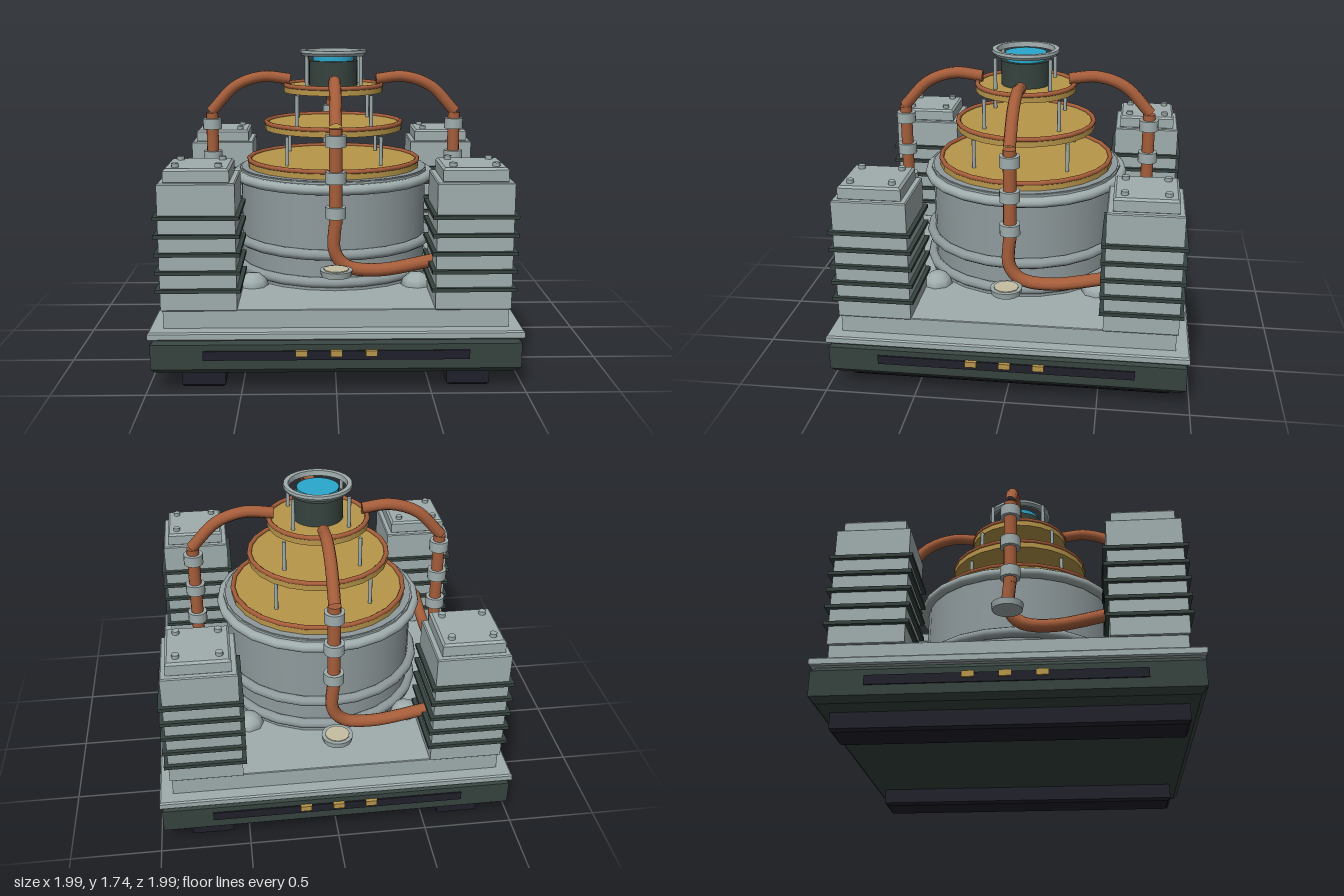
import * as THREE from 'three';

const mat = (name, color) => Object.assign(new THREE.MeshStandardMaterial({ color }), { name });
const grey = mat('light grey metal', 0xa0adad);
const steel = mat('drum steel', 0x8f9a9c);
const dark = mat('dark green metal', 0x36433f);
const black = mat('near black', 0x20202b);
const copper = mat('copper', 0xa55d3a);
const gold = mat('brass', 0xb8964a);
const cyan = mat('cyan glow', 0x2aa8cd);
const cream = mat('cream lamp', 0xc6bfa2);

export function createModel() {
  const root = new THREE.Group();

  const add = (parent, name, geometry, material, x = 0, y = 0, z = 0) => {
    const m = new THREE.Mesh(geometry, material);
    m.name = name;
    m.position.set(x, y, z);
    parent.add(m);
    return m;
  };
  const group = (name, parent = root) => {
    const g = new THREE.Group();
    g.name = name;
    parent.add(g);
    return g;
  };
  // Box from y0 to y1 with chamfered edges
  const slab = (w, d, y0, y1, b) => {
    const x = w / 2 - b, z = d / 2 - b;
    const shape = new THREE.Shape([[-x, -z], [x, -z], [x, z], [-x, z]].map(p => new THREE.Vector2(...p)));
    return new THREE.ExtrudeGeometry(shape, {
      depth: y1 - y0 - 2 * b, bevelEnabled: true, bevelSize: b, bevelThickness: b, bevelSegments: 1,
    }).rotateX(-Math.PI / 2).translate(0, y0 + b, 0);
  };
  // Upright cylinder from y0 to y1
  const cyl = (r, y0, y1, n = 24, rBottom = r) =>
    new THREE.CylinderGeometry(r, rBottom, y1 - y0, n).translate(0, (y0 + y1) / 2, 0);
  const ring = (r, tube, y, n = 24) =>
    new THREE.TorusGeometry(r, tube, 10, n).rotateX(Math.PI / 2).translate(0, y, 0);
  const tube = (pts, r = 0.036) => new THREE.TubeGeometry(
    new THREE.CatmullRomCurve3(pts.map(p => new THREE.Vector3(...p))), 24, r, 10);

  // Base: skids, hull, plate and deck
  const base = group('base');
  for (const s of [-1, 1]) add(base, 'skid', slab(0.23, 1.8, 0, 0.13, 0.015), black, s * 0.705);
  add(base, 'hull', slab(1.95, 1.95, 0.1, 0.295, 0.03), dark);
  add(base, 'plate', slab(1.97, 1.97, 0.29, 0.335, 0.008), grey);
  add(base, 'deck', slab(1.82, 1.82, 0.33, 0.435, 0.004), grey);

  // Drum with its three hoops
  const drum = group('drum');
  add(drum, 'drumBody', cyl(0.555, 0.43, 1.05, 32), steel);
  for (const y of [0.475, 0.635]) add(drum, 'drumHoop', ring(0.575, 0.03, y), steel);
  add(drum, 'drumFoot', cyl(0.59, 0.43, 0.475), steel);
  add(drum, 'drumRim', ring(0.575, 0.03, 1.005), grey);
  add(drum, 'drumLid', cyl(0.565, 1.005, 1.045), grey);

  // Stacked discs, each edged with a copper ring
  const stack = group('discStack');
  for (const [r, y] of [[0.515, 1.05], [0.41, 1.27], [0.293, 1.49]]) {
    add(stack, 'disc', cyl(r, y, y + 0.04), gold);
    add(stack, 'discEdge', ring(r - 0.008, 0.014, y + 0.042), copper);
  }

  // Emitter head
  const head = group('emitterHead');
  add(head, 'emitterBody', cyl(0.145, 1.525, 1.675), dark);
  add(head, 'emitterLens', cyl(0.12, 1.67, 1.715, 32), cyan);
  const rim = [[0.165, 1.708], [0.185, 1.705], [0.197, 1.722], [0.195, 1.738], [0.168, 1.738], [0.165, 1.708]];
  const rimGeo = new THREE.LatheGeometry(rim.map(p => new THREE.Vector2(...p)), 24).toNonIndexed();
  rimGeo.computeVertexNormals();
  add(head, 'guardRing', rimGeo, grey);

  for (let k = 0; k < 4; k++) {
    // One quarter, facing +z, repeated around the axis
    const q = group('quarter');
    q.rotation.y = k * Math.PI / 2;

    // Light strip on the hull side
    add(q, 'sidePanel', new THREE.BoxGeometry(1.4, 0.05, 0.02), black, 0, 0.207, 0.973);
    for (const x of [-0.183, 0, 0.183])
      add(q, 'sideLight', new THREE.BoxGeometry(0.062, 0.032, 0.03), gold, x, 0.22, 0.981);

    // Coolant pipe: upper arc, riser, lower sweep into the pylon
    const pipe = group('pipe', q);
    add(pipe, 'pipeArc', tube([[0, 1.565, 0.255], [0, 1.58, 0.42], [0, 1.525, 0.58], [0, 1.37, 0.73]], 0.034), copper);
    add(pipe, 'pipeRiser', cyl(0.036, 0.85, 1.365, 12), copper, 0, 0, 0.725);
    add(pipe, 'pipeSweep', tube([[0, 0.88, 0.725], [-0.005, 0.7, 0.725], [0.055, 0.62, 0.725],
      [0.22, 0.595, 0.725], [0.56, 0.655, 0.725]]), copper);
    for (const y of [1.3, 1.105, 0.915])
      add(pipe, 'pipeCollar', cyl(0.056, y - 0.031, y + 0.031, 16), grey, 0, 0, 0.725);
    for (const z of [0.255])
      add(pipe, 'pipeEnd', new THREE.CircleGeometry(0.034, 10).rotateY(Math.PI), copper, 0, 1.565, z);

    // Round lamp
    add(q, 'lampDish', cyl(0.086, 0.612, 0.645, 16, 0.08), grey, 0, 0, 0.885);
    add(q, 'lampGlass', cyl(0.066, 0.643, 0.65, 12), cream, 0, 0, 0.885);

    // Corner pylon with cooling fins and cap bolts
    const pylon = group('pylon', q);
    pylon.position.set(0.72, 0, 0.72);
    add(pylon, 'pylonBody', slab(0.4, 0.4, 0.43, 1.11, 0.006), grey);
    add(pylon, 'pylonCap', slab(0.34, 0.34, 1.1, 1.183, 0.012), grey);
    for (let i = 0; i < 5; i++)
      add(pylon, 'coolingFin', new THREE.BoxGeometry(0.445, 0.02, 0.445), dark, 0, 0.545 + i * 0.097, 0);
    for (const x of [-0.112, 0.112]) for (const z of [-0.112, 0.112])
      add(pylon, 'capBolt', cyl(0.02, 1.17, 1.203, 8), grey, x, 0, z);

    // Foot knob and support rods on the diagonal
    const knob = add(q, 'footKnob', new THREE.SphereGeometry(0.088, 8, 6), grey, 0.465, 0.435, 0.465);
    knob.scale.y = 0.82;
    for (const [d, y0, y1, r] of [[0.27, 1.08, 1.257, 0.011], [0.215, 1.3, 1.487, 0.011], [0.157, 1.52, 1.71, 0.011]])
      add(q, 'supportRod', cyl(r, y0, y1, 8), grey, d, 0, d);
  }
  return root;
}
